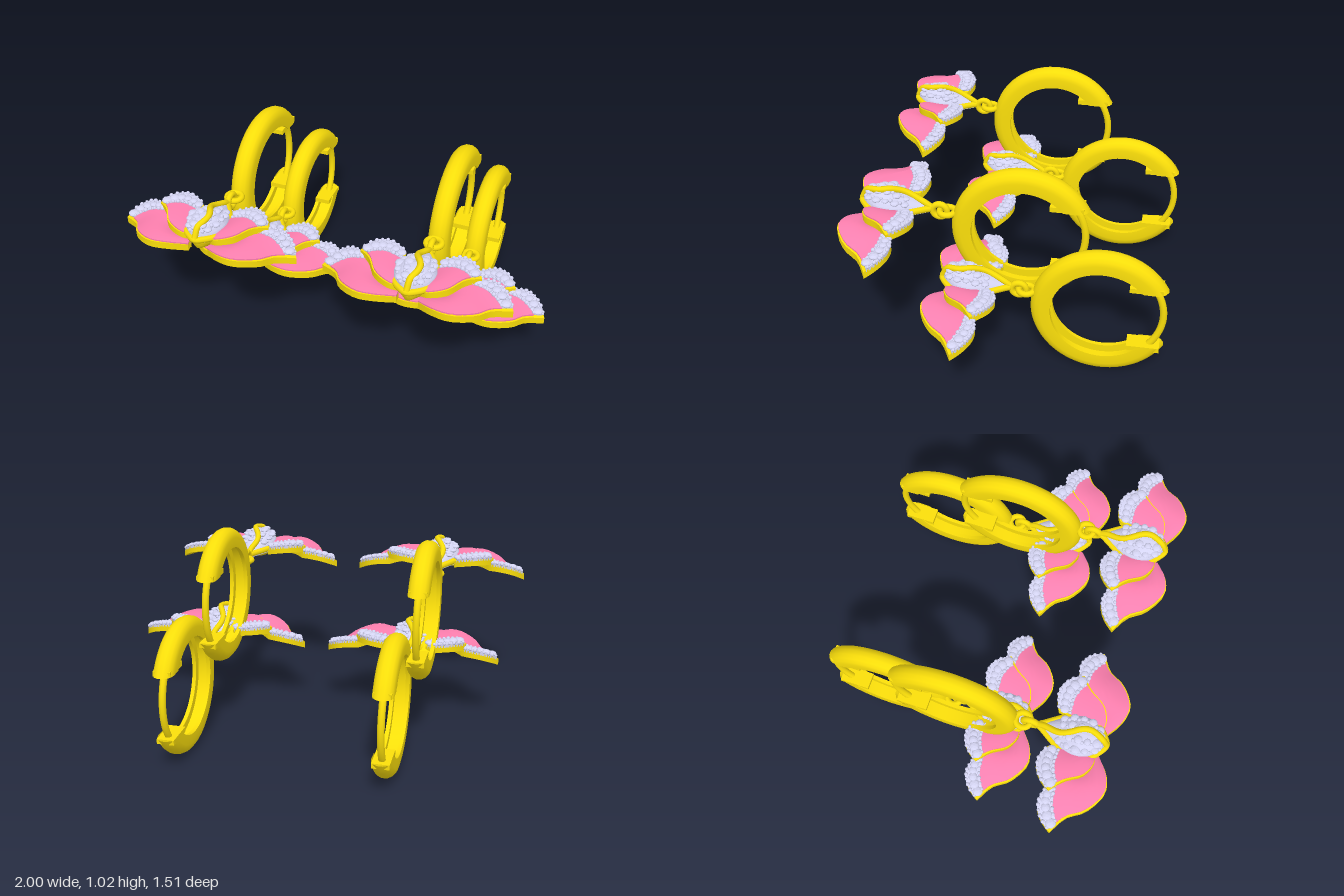
import * as THREE from 'three';
import { mergeGeometries, toCreasedNormals } from 'three/addons/utils/BufferGeometryUtils.js';

const V = (x, y, z) => new THREE.Vector3(x, y, z);
const mat = (color) => new THREE.MeshStandardMaterial({ color, side: THREE.DoubleSide });
const gold = mat(0xfade0a), pink = mat(0xff80b0), stone = mat(0xd4d4f2);
stone.flatShading = true;

function part(parent, name, geometry, material) {
  const mesh = new THREE.Mesh(geometry, material);
  mesh.name = name;
  parent.add(mesh);
  return mesh;
}

// Skin a row of closed rings; the winding is flipped if the volume is negative.
function loft(rings) {
  const n = rings[0].length, pos = [], tris = [];
  rings.forEach((ring) => ring.forEach((p) => pos.push(p.x, p.y, p.z)));
  const flat = rings.flat(), cross = V();
  let volume = 0;
  for (let j = 0; j < rings.length - 1; j++) {
    for (let i = 0; i < n; i++) {
      const a = j * n + i, b = j * n + (i + 1) % n, c = a + n, d = b + n;
      tris.push([a, b, d], [a, d, c]);
    }
  }
  tris.forEach(([a, b, c]) => { volume += flat[a].dot(cross.crossVectors(flat[b], flat[c])); });
  const geo = new THREE.BufferGeometry();
  geo.setAttribute('position', new THREE.Float32BufferAttribute(pos, 3));
  geo.setIndex(tris.flatMap(([a, b, c]) => (volume < 0 ? [a, c, b] : [a, b, c])));
  return toCreasedNormals(geo, 0.7);
}

// Thicken a surface f(u, v) downwards into a closed slab whose underside may sag.
function slab(f, top, bottom, nu = 14, nv = 14, sag = 0) {
  const rings = [];
  for (let j = -1; j <= nv + 1; j++) {
    const v = Math.min(Math.max(j / nv, 0), 1), wall = j < 0 || j > nv, ring = [];
    for (let i = 0; i < 2 * nu + 2; i++) {
      const under = i > nu, u = (under ? 2 * nu + 1 - i : i) / nu;
      const p = f(u, v);
      p.y += under && !wall ? bottom - sag * Math.sin(Math.PI * u) * Math.sin(Math.PI * v) : top;
      ring.push(p);
    }
    rings.push(ring);
  }
  return loft(rings);
}

// Flat faceted stones of one size at given points.
function stones(points, radius, flatness) {
  return mergeGeometries(points.map((p, i) => {
    const g = new THREE.IcosahedronGeometry(radius * (0.9 + 0.15 * Math.sin(i * 5.3)), 1);
    g.rotateY(i * 1.7);
    g.scale(1, flatness, 1);
    g.translate(p.x, p.y, p.z);
    return g;
  }));
}

// Petal edges run from the base to the tip: back edge, front edge.
const petals = [
  { name: 'outerPetal', bulge: V(0.01, 0.015, -0.045), cut: [0.76, 0.9],
    back: [[0.05, 0.735, 0.65], [0.16, 0.755, 0.615], [0.215, 0.77, 0.55], [0.27, 0.768, 0.49]],
    front: [[0.05, 0.735, 0.68], [0.13, 0.765, 0.735], [0.21, 0.772, 0.75], [0.31, 0.752, 0.69],
      [0.36, 0.732, 0.615], [0.443, 0.712, 0.56]] },
  { name: 'innerPetal', bulge: V(0.01, 0.012, -0.052), cut: [0.68, 0.84],
    back: [[0.04, 0.765, 0.6], [0.075, 0.785, 0.53], [0.09, 0.79, 0.44]],
    front: [[0.04, 0.765, 0.64], [0.09, 0.79, 0.665], [0.165, 0.806, 0.635], [0.22, 0.812, 0.555], [0.28, 0.8, 0.5]] },
];

function addPetal(flower, spec, side) {
  const group = new THREE.Group();
  group.name = (side > 0 ? 'left ' : 'right ') + spec.name;
  flower.add(group);
  const [back, front] = [spec.back, spec.front].map((pts) => new THREE.CatmullRomCurve3(pts.map((p) => V(...p))));
  const surface = (u, v) => {
    const p = back.getPoint(v).lerp(front.getPoint(v), u);
    p.addScaledVector(spec.bulge, 4 * u * (1 - u) * v ** 3);
    p.y += 0.01 * Math.sin(Math.PI * u) * Math.sin(Math.PI * Math.min(v + 0.15, 0.85));
    p.x *= side;
    return p;
  };
  const cut = (u) => THREE.MathUtils.lerp(spec.cut[0], spec.cut[1], u);
  const band = (u, v) => surface(u, cut(u) + (1 - cut(u)) * v);
  part(group, 'goldBacking', slab((u, v) => surface(u * 1.04 - 0.02, v), -0.003, -0.038, 14, 14, 0.02), gold);
  part(group, 'enamel', slab((u, v) => surface(0.02 + 0.96 * u, v * cut(u)), 0.004, -0.012), pink);
  part(group, 'stoneBand', slab((u, v) => band(0.03 + 0.94 * u, v), 0.006, -0.012, 14, 3), stone);
  const large = [], beads = [];
  for (let i = 0; i < 6; i++) large.push(band((i + 0.5) / 6, 0.5));
  for (let i = 0; i < 8; i++) beads.push(band((i + 0.5) / 8, 0.95), band((i + 0.5) / 8, 0.08));
  for (const p of [...large, ...beads]) p.y += 0.007;
  part(group, 'largeStones', stones(large, 0.025, 0.5), stone);
  part(group, 'beads', stones(beads, 0.01, 1), stone);
}

// Domed teardrop in the middle of the flower.
const dropWidth = (t) => 0.1 * Math.max(Math.sin(Math.PI * t ** 1.4), 0) ** 0.75;
const dropBase = (t) => 0.765 + 0.02 * t;
const dropDome = (u, t) => {
  const a = Math.PI * u, w = dropWidth(t);
  const height = 0.078 * Math.sqrt(w / 0.1) * Math.min(1, 0.4 + t);
  return V(w * Math.cos(a), dropBase(t) + height * Math.sin(a), 0.37 + 0.325 * t);
};
// The cup below narrows towards its foot.
const dropUnder = (u, t) => {
  const p = dropDome(u, t);
  p.y = dropBase(t) - (0.3 + 0.75 * t) * (p.y - dropBase(t));
  p.x *= 1 - 0.4 * Math.sin(Math.PI * u);
  return p;
};

function addTeardrop(flower) {
  const group = new THREE.Group();
  group.name = 'centreTeardrop';
  flower.add(group);
  part(group, 'stoneDome', slab(dropDome, 0, -0.02, 16, 18), stone);
  part(group, 'goldCup', slab(dropUnder, 0, -0.015, 16, 18), gold);
  const rim = [], ribbon = [], large = [], beads = [];
  for (let i = 0; i < 14; i++) rim.push(dropDome(0, i / 14));
  for (let i = 0; i < 14; i++) rim.push(dropDome(1, 1 - i / 14));
  part(group, 'rim', new THREE.TubeGeometry(new THREE.CatmullRomCurve3(rim, true), 72, 0.016, 8, true), gold);
  for (let i = 0; i <= 12; i++) {
    const t = i / 12, p = dropDome(Math.acos(-0.3 * Math.sin(2 * Math.PI * t)) / Math.PI, t);
    p.y += 0.008;
    ribbon.push(p);
  }
  part(group, 'ribbon', new THREE.TubeGeometry(new THREE.CatmullRomCurve3(ribbon), 40, 0.015, 8), gold);
  for (let j = 0; j < 5; j++) {
    for (const u of [0.24, 0.4, 0.6, 0.76]) {
      large.push(dropDome(u, 0.34 + 0.13 * j));
      beads.push(dropDome(u + 0.03, 0.4 + 0.13 * j));
    }
  }
  part(group, 'largeStones', stones(large, 0.022, 0.5), stone);
  part(group, 'beads', stones(beads, 0.01, 1), stone);
}

// Hinged hoop with a grooved inside, cut off level at the back.
function addHoop(earring) {
  const hoop = new THREE.Group();
  hoop.name = 'hoop';
  hoop.position.set(0, 0.681, -0.065);
  earring.add(hoop);
  const profile = [[0.242, 0.048], [0.29, 0.05], [0.312, 0.045], [0.328, 0.032], [0.338, 0.012],
    [0.338, -0.012], [0.328, -0.032], [0.312, -0.045], [0.29, -0.05], [0.242, -0.048],
    [0.242, -0.028], [0.28, -0.028], [0.28, 0.028], [0.242, 0.028]];
  const rings = [];
  for (let j = 0; j <= 48; j++) {
    rings.push(profile.map(([r, x]) => {
      const a = THREE.MathUtils.lerp(Math.asin(0.155 / r), 2 * Math.PI - Math.asin(0.165 / r), j / 48);
      return V(x, r * Math.sin(a), -r * Math.cos(a));
    }));
  }
  part(hoop, 'band', loft(rings), gold);
  for (const y of [0.167, -0.177]) {
    part(hoop, 'endPlate', new THREE.BoxGeometry(0.085, 0.025, 0.155), gold).position.set(0, y, -0.2);
  }
  const wire = new THREE.TorusGeometry(0.285, 0.017, 10, 24, 1.3);
  wire.rotateZ(-0.65);
  wire.rotateY(Math.PI / 2);
  part(hoop, 'earWire', wire, gold);
}

function makeEarring() {
  const earring = new THREE.Group();
  addHoop(earring);
  // Linked rings between hoop and flower
  const flatRing = part(earring, 'hoopLoop', new THREE.TorusGeometry(0.036, 0.015, 10, 24), gold);
  flatRing.position.set(0, 0.757, 0.295);
  flatRing.rotation.x = Math.PI / 2;
  const uprightRing = part(earring, 'pendantLoop', new THREE.TorusGeometry(0.034, 0.015, 10, 24), gold);
  uprightRing.position.set(0, 0.757, 0.33);
  uprightRing.rotation.y = Math.PI / 2;
  const flower = new THREE.Group();
  flower.name = 'flowerPendant';
  earring.add(flower);
  for (const side of [1, -1]) petals.forEach((spec) => addPetal(flower, spec, side));
  addTeardrop(flower);
  return earring;
}

export function createModel() {
  const model = new THREE.Group();
  model.name = 'earringSet';
  const earring = makeEarring();
  // Two pairs: an upper front one and a lower back one
  for (const x of [-0.555, 0.465]) {
    for (const low of [0, 1]) {
      const copy = earring.clone();
      copy.name = low ? 'lowerEarring' : 'upperEarring';
      copy.position.set(x + 0.087 * low, -0.343 * low, -0.385 * low);
      model.add(copy);
    }
  }
  return model;
}
